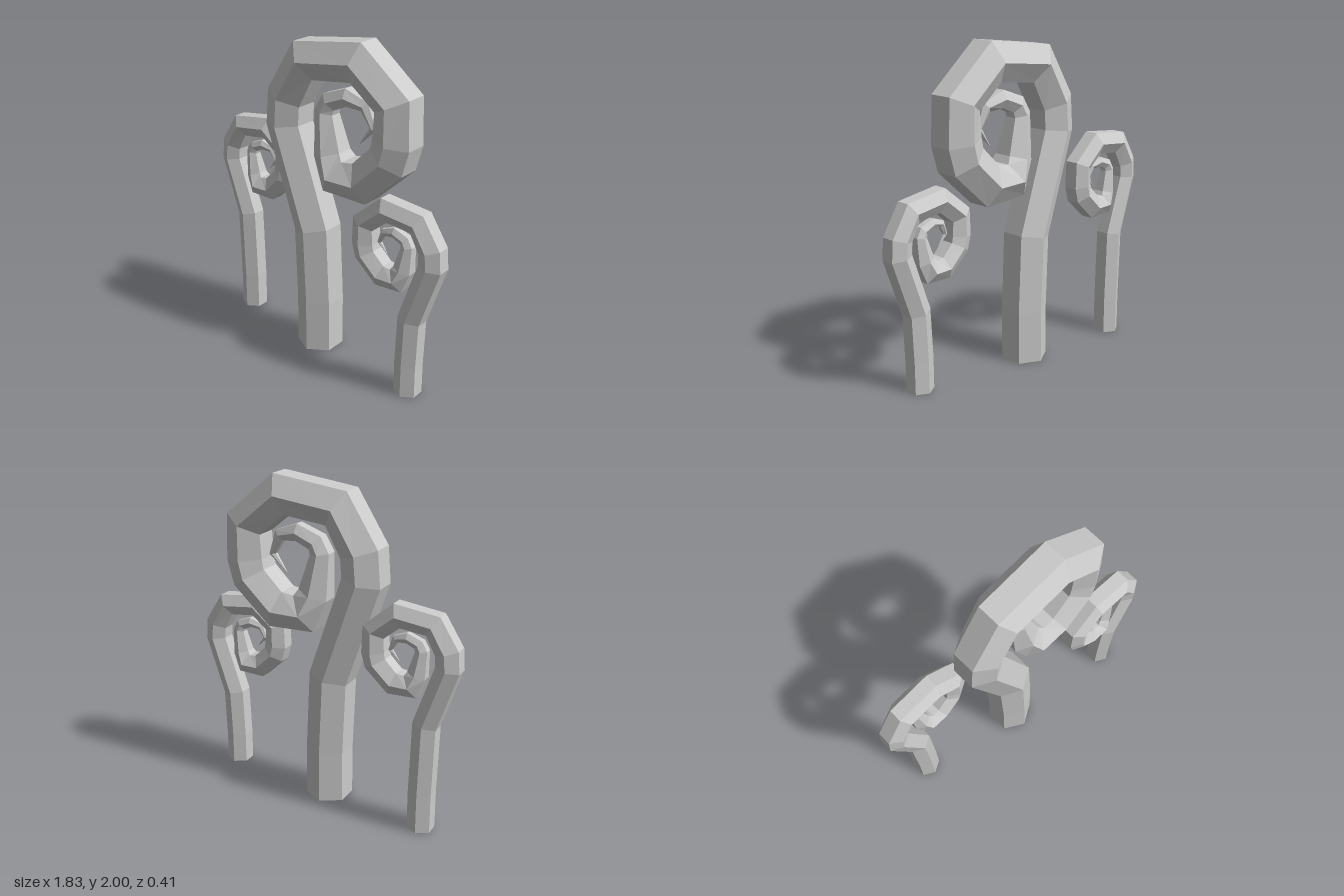
import * as THREE from 'three';

const SIDES = 6;
const R = 0.142;

// Curled head at full size: [x, y, radius], measured from the stem's base (x) and the neck (y)
const HEAD = [
  [-0.02, -0.62, R], [-0.23, 0, R], [-0.217, 0.17, R], [-0.071, 0.415, R],
  [0.3, 0.46, R], [0.543, 0.258, R], [0.543, 0.042, R], [0.515, -0.066, R],
  [0.333, -0.238, R], [0.143, -0.238, R], [0.09, -0.12, 0.11], [0.053, 0.127, 0.073],
  [0.085, 0.19, 0.067], [0.206, 0.238, 0.061], [0.328, 0.206, 0.043],
  [0.381, 0.085, 0.024], [0.291, -0.02, 0.003],
];

// Tapered six-sided tube through a flat path of [x, y, radius]
function taperedTube(path) {
  const rings = path.map(([x, y, r], i) => {
    const t = new THREE.Vector2();
    if (i > 0) t.add(new THREE.Vector2(x - path[i - 1][0], y - path[i - 1][1]).normalize());
    if (i < path.length - 1) t.add(new THREE.Vector2(path[i + 1][0] - x, path[i + 1][1] - y).normalize());
    t.normalize();
    return Array.from({ length: SIDES }, (_, k) => {
      const a = ((k + 0.5) / SIDES) * Math.PI * 2;
      const c = r * Math.cos(a);
      return [x - t.y * c, y + t.x * c, r * Math.sin(a)];
    });
  });
  const pos = [];
  const tri = (a, b, c) => pos.push(...a, ...b, ...c);
  for (let i = 0; i < rings.length - 1; i++) {
    for (let k = 0; k < SIDES; k++) {
      const n = (k + 1) % SIDES;
      tri(rings[i][k], rings[i][n], rings[i + 1][n]);
      tri(rings[i][k], rings[i + 1][n], rings[i + 1][k]);
    }
  }
  // End caps
  const first = rings[0], last = rings[rings.length - 1];
  for (let k = 1; k < SIDES - 1; k++) {
    tri(first[0], first[k + 1], first[k]);
    tri(last[0], last[k], last[k + 1]);
  }
  const geo = new THREE.BufferGeometry();
  geo.setAttribute('position', new THREE.Float32BufferAttribute(pos, 3));
  geo.computeVertexNormals();
  return geo;
}

export function createModel() {
  const group = new THREE.Group();
  const material = new THREE.MeshStandardMaterial({ color: 0xcccccc, flatShading: true });

  // One fern: straight stem from the ground, then the scaled (or mirrored) curl
  const addFern = (name, x, z, neckY, scale, mirror) => {
    const path = [
      [0, 0, R * scale],
      [0, neckY * 0.23, R * scale],
      ...HEAD.map(([hx, hy, r]) => [hx * scale * mirror, neckY + hy * scale, r * scale]),
    ];
    const mesh = new THREE.Mesh(taperedTube(path), material);
    mesh.name = name;
    mesh.position.set(x, 0, z);
    group.add(mesh);
  };

  addFern('largeFern', -0.04, -0.003, 1.418, 1, 1);
  addFern('rightFern', -0.71, -0.125, 1.035, 0.58, 1);
  addFern('leftFern', 0.71, 0.125, 0.85, 0.58, -1);
  return group;
}
